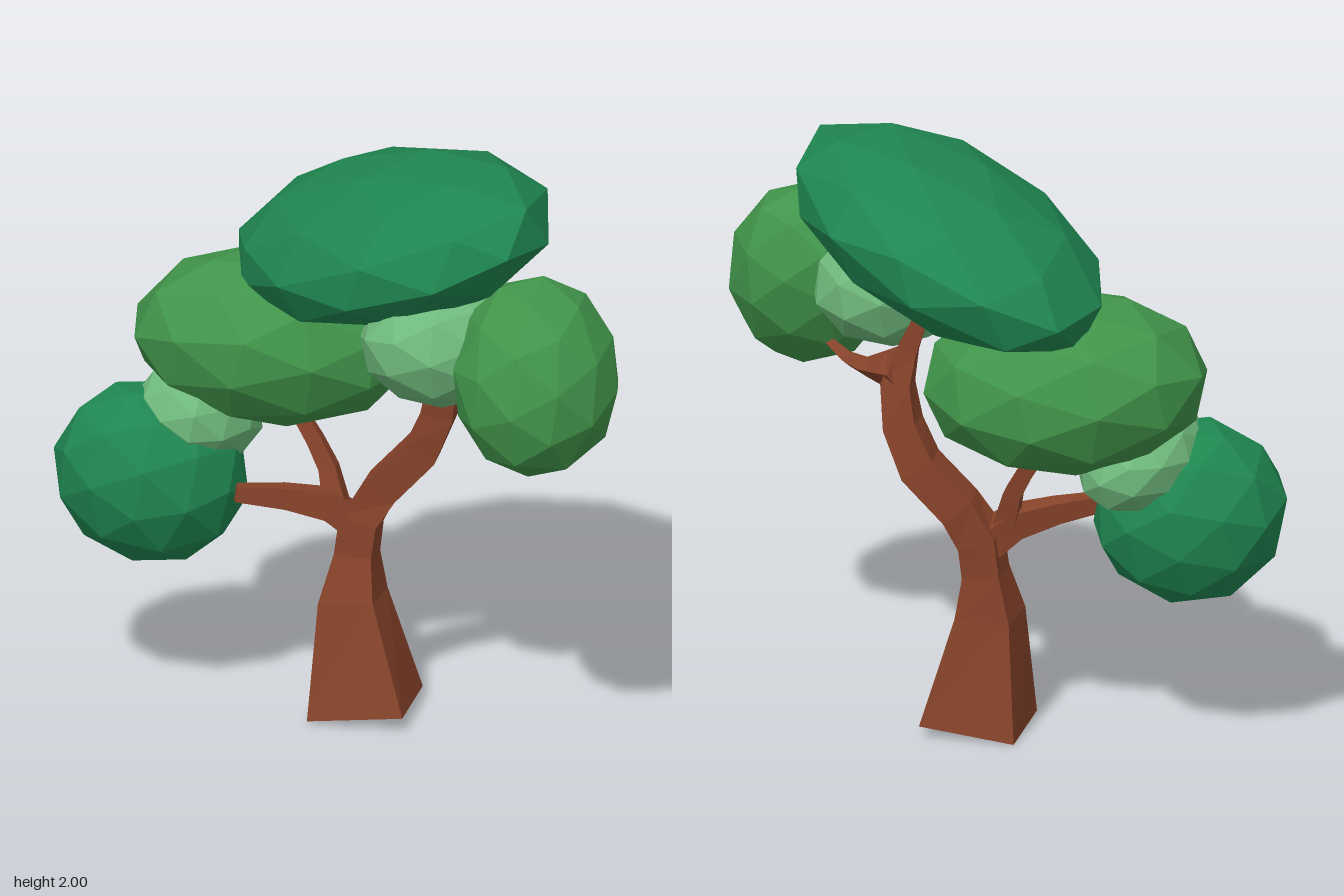
import * as THREE from 'three';

const BARK = new THREE.MeshStandardMaterial({ color: 0x87432a, flatShading: true });
const leaf = (color) => new THREE.MeshStandardMaterial({ color, flatShading: true });
const DARK = leaf(0x1f8650), MID = leaf(0x41944a), PALE = leaf(0x6fb97c);

// Four-sided limb swept through rings [x, y, z, radius along ref, radius across]
function limb(name, rings, ref) {
  const centres = rings.map(([x, y, z]) => new THREE.Vector3(x, y, z));
  const pos = [], index = [];
  rings.forEach(([, , , ru, rv = ru], i) => {
    const t = centres[Math.min(i + 1, rings.length - 1)].clone()
      .sub(centres[Math.max(i - 1, 0)]).normalize();
    const u = ref.clone().addScaledVector(t, -ref.dot(t)).normalize();
    const v = t.clone().cross(u);
    for (let k = 0; k < 4; k++) {
      const a = k * Math.PI / 2;
      const p = centres[i].clone()
        .addScaledVector(u, ru * Math.cos(a)).addScaledVector(v, rv * Math.sin(a));
      pos.push(p.x, p.y, p.z);
      if (i > 0) {
        const a0 = (i - 1) * 4 + k, a1 = (i - 1) * 4 + (k + 1) % 4;
        index.push(a0, a1, a1 + 4, a0, a1 + 4, a0 + 4);
      }
    }
  });
  // end caps
  const e = (rings.length - 1) * 4;
  index.push(0, 2, 1, 0, 3, 2, e, e + 1, e + 2, e, e + 2, e + 3);
  const geo = new THREE.BufferGeometry();
  geo.setAttribute('position', new THREE.Float32BufferAttribute(pos, 3));
  geo.setIndex(index);
  const flat = geo.toNonIndexed();
  flat.computeVertexNormals();
  const mesh = new THREE.Mesh(flat, BARK);
  mesh.name = name;
  return mesh;
}

// Faceted leaf clump, leaning by dy/dx and dy/dz (and dx/dz), fitted to a box
function clump(name, material, min, max, { yx = 0, yz = 0, xz = 0, turn = 0 }) {
  const lo = new THREE.Vector3(...min), hi = new THREE.Vector3(...max);
  const size = hi.clone().sub(lo);
  const geo = new THREE.IcosahedronGeometry(0.5, 1);
  geo.rotateX(0.5536).rotateY(turn).scale(size.x, size.y, size.z);
  const lean = new THREE.Matrix4().set(
    1, 0, xz, 0,
    yx, 1, yz, 0,
    0, 0, 1, 0,
    0, 0, 0, 1);
  geo.applyMatrix4(lean);
  geo.computeBoundingBox();
  const box = geo.boundingBox, got = box.getSize(new THREE.Vector3());
  geo.translate(-box.min.x, -box.min.y, -box.min.z);
  geo.scale(size.x / got.x, size.y / got.y, size.z / got.z);
  geo.translate(lo.x, lo.y, lo.z);
  geo.computeVertexNormals();
  const mesh = new THREE.Mesh(geo, material);
  mesh.name = name;
  return mesh;
}

export function createModel() {
  const tree = new THREE.Group();
  tree.name = 'tree';
  const X = new THREE.Vector3(1, 0, 0), slant = new THREE.Vector3(0, 1, 1);

  tree.add(
    // Trunk with its foot cut slightly askew, running on into the main limb
    limb('trunk', [
      [0.147, 0.022, -0.12, 0.229, 0.231],
      [0.125, 0.40, -0.16, 0.137, 0.122],
      [0.145, 0.55, -0.165, 0.092, 0.085],
      [0.16, 0.67, -0.16, 0.095, 0.085],
      [0.22, 0.78, -0.125, 0.09, 0.08],
      [0.325, 0.92, -0.045, 0.09, 0.08],
      [0.365, 1.06, 0.0, 0.08, 0.075],
      [0.37, 1.20, 0.025, 0.068, 0.075],
      [0.345, 1.32, 0.0, 0.045, 0.05],
      [0.32, 1.43, -0.04, 0.03, 0.035],
    ], X),
    limb('frontBranch', [
      [0.37, 1.24, 0.0, 0.06, 0.09],
      [0.375, 1.225, 0.08, 0.055, 0.066],
      [0.38, 1.2, 0.2, 0.042, 0.036],
      [0.38, 1.195, 0.32, 0.03, 0.026],
      [0.38, 1.22, 0.45, 0.02, 0.018],
    ], X),
    limb('sideBranch', [
      [0.15, 0.65, -0.165, 0.075],
      [0.06, 0.725, -0.21, 0.068],
      [-0.07, 0.76, -0.27, 0.052],
      [-0.225, 0.785, -0.335, 0.037],
    ], slant),
    limb('backBranch', [
      [0.09, 0.71, -0.20, 0.055],
      [0.085, 0.84, -0.245, 0.042],
      [0.06, 0.93, -0.29, 0.037],
      [0.025, 1.03, -0.35, 0.032],
    ], X),
  );

  // Foliage
  tree.add(
    clump('crownFoliage', DARK, [-0.24, 1.4, -0.72], [0.675, 2.0, 0.615],
      { yx: 0.2, yz: 0.23, xz: 0.03 }),
    clump('backFoliage', MID, [-0.44, 0.98, -0.83], [0.43, 1.56, -0.03],
      { yx: -0.05, xz: 0.28, turn: 1.1 }),
    clump('frontFoliage', MID, [0.07, 1.08, 0.35], [0.615, 1.73, 0.9],
      { yx: 0.1, yz: -0.18, turn: 0.7 }),
    clump('lowFoliage', DARK, [-0.675, 0.5, -0.9], [-0.09, 1.11, -0.31],
      { yx: -0.05, xz: 0.2, turn: 0.2 }),
    clump('lowPaleFoliage', PALE, [-0.45, 0.83, -0.77], [0.0, 1.19, -0.33],
      { yx: -0.2, xz: -0.2, turn: 0.5 }),
    clump('highPaleFoliage', PALE, [-0.1, 1.24, 0.06], [0.5, 1.67, 0.54],
      { yx: -0.05, turn: 0.9 }),
  );
  return tree;
}
